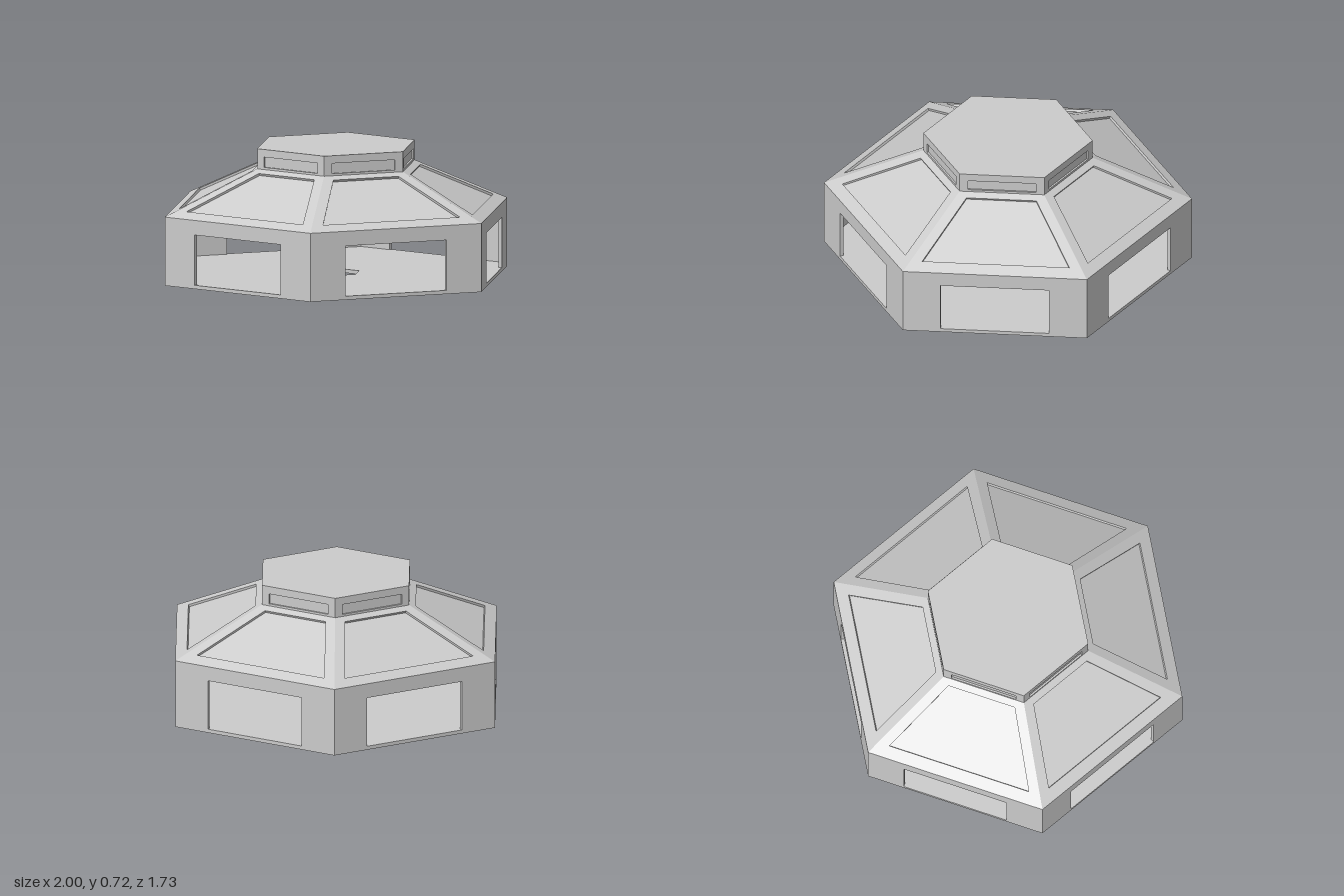
import * as THREE from 'three';

const SIDES = 6;
const APOTHEM = Math.sqrt(3) / 2;
const EAVE_Y = 0.375, COLLAR_Y = 0.61, TOP_Y = 0.72;
const COLLAR_R = 0.46;
const WALL = 0.02;

const material = new THREE.MeshStandardMaterial({ color: 0xcccccc, flatShading: true });

// Symmetric trapezoid outline: half widths at the bottom and top edges
function trapezoid(Type, wBottom, wTop, y0, y1) {
  const p = new Type();
  p.moveTo(-wBottom, y0);
  p.lineTo(wBottom, y0);
  p.lineTo(wTop, y1);
  p.lineTo(-wTop, y1);
  p.closePath();
  return p;
}

// Hexagon with corners on the x axis
function hexagon(Type, r) {
  const p = new Type();
  for (let i = 0; i < SIDES; i++) {
    const a = (i * Math.PI) / 3;
    if (i === 0) p.moveTo(r, 0);
    else p.lineTo(r * Math.cos(a), r * Math.sin(a));
  }
  p.closePath();
  return p;
}

// Plate whose outer face lies at local z = -inset and which thickens inwards
function plate(name, shape, depth, inset = 0) {
  const geometry = new THREE.ExtrudeGeometry(shape, { depth, bevelEnabled: false });
  geometry.translate(0, 0, -depth - inset);
  const mesh = new THREE.Mesh(geometry, material);
  mesh.name = name;
  return mesh;
}

// One sixth of the building, facing +z
function createSide() {
  const side = new THREE.Group();

  // Wall with an open window
  const wallShape = trapezoid(THREE.Shape, 0.5, 0.5, 0, EAVE_Y);
  wallShape.holes.push(trapezoid(THREE.Path, 0.295, 0.295, 0.02, 0.295));
  const wall = plate('wall', wallShape, WALL);
  wall.position.z = APOTHEM;
  side.add(wall);

  // Sloping roof segment with a recessed panel
  const run = APOTHEM * (1 - COLLAR_R), rise = COLLAR_Y - EAVE_Y;
  const slope = Math.hypot(run, rise);
  const roof = new THREE.Group();
  roof.name = 'roofSegment';
  const frameShape = trapezoid(THREE.Shape, 0.5, COLLAR_R / 2, 0, slope);
  frameShape.holes.push(trapezoid(THREE.Path, 0.4, 0.19, 0.07, 0.483));
  roof.add(plate('roofFrame', frameShape, 0.013));
  roof.add(plate('roofPanel', trapezoid(THREE.Shape, 0.46, 0.21, 0.03, slope - 0.01), 0.012, 0.013));
  roof.position.set(0, EAVE_Y, APOTHEM);
  roof.rotation.x = -Math.atan2(run, rise);
  side.add(roof);

  // Collar wall with a shallow recess
  const collar = new THREE.Group();
  collar.name = 'collarSegment';
  const half = COLLAR_R / 2;
  const collarShape = trapezoid(THREE.Shape, half, half, COLLAR_Y, TOP_Y - WALL);
  collarShape.holes.push(trapezoid(THREE.Path, 0.185, 0.185, 0.622, 0.678));
  collar.add(plate('collarFrame', collarShape, 0.01));
  collar.add(plate('collarPanel', trapezoid(THREE.Shape, 0.215, 0.215, COLLAR_Y, TOP_Y - WALL), 0.01, 0.01));
  collar.position.z = APOTHEM * COLLAR_R;
  side.add(collar);

  return side;
}

export function createModel() {
  const model = new THREE.Group();
  model.name = 'hexagonalPavilion';

  for (let i = 0; i < SIDES; i++) {
    const side = createSide();
    side.name = 'side' + (i + 1);
    side.rotation.y = (i * Math.PI) / 3;
    model.add(side);
  }

  // Floor with a central hexagonal hatch opening
  const floorShape = hexagon(THREE.Shape, 1 - WALL / APOTHEM);
  floorShape.holes.push(hexagon(THREE.Path, 0.135));
  const floor = plate('floor', floorShape, 0.02);
  floor.rotation.x = -Math.PI / 2;
  floor.position.y = 0.02;
  model.add(floor);

  // Flat cap closing the collar
  const capGeometry = new THREE.CylinderGeometry(COLLAR_R, COLLAR_R, WALL, SIDES);
  capGeometry.rotateY(Math.PI / 6);
  const cap = new THREE.Mesh(capGeometry, material);
  cap.name = 'cap';
  cap.position.y = TOP_Y - WALL / 2;
  model.add(cap);

  return model;
}
